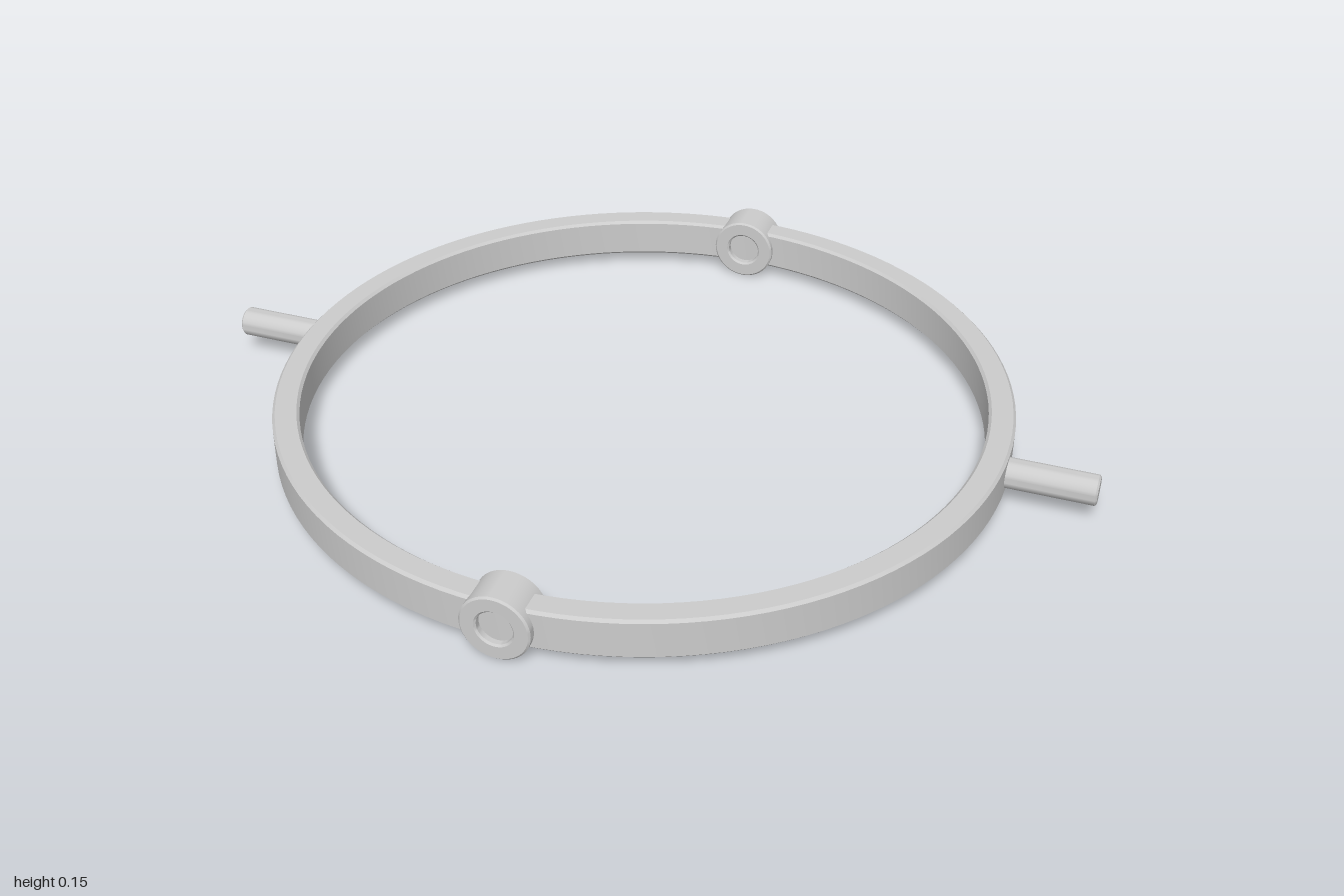
import * as THREE from 'three';
import { toCreasedNormals } from 'three/addons/utils/BufferGeometryUtils.js';

const MID_Y = 0.075;
const material = new THREE.MeshStandardMaterial({ color: 0xcccccc });

// Annular band around the y axis, centred on y = 0, with chamfered edges
function bandGeometry(inner, outer, height, c, segments) {
  const h = height / 2;
  const points = [
    [inner, -h + c], [inner + c, -h], [outer - c, -h], [outer, -h + c],
    [outer, h - c], [outer - c, h], [inner + c, h], [inner, h - c], [inner, -h + c],
  ].map(([r, y]) => new THREE.Vector2(r, y));
  return toCreasedNormals(new THREE.LatheGeometry(points, segments), 0.5);
}

// Solid rod along y starting at y = 0, with a chamfered far end
function rodGeometry(radius, length, c, segments) {
  const points = [
    [0, 0], [radius, 0], [radius, length - c], [radius - c, length], [0, length],
  ].map(([r, y]) => new THREE.Vector2(r, y));
  return toCreasedNormals(new THREE.LatheGeometry(points, segments), 0.5);
}

export function createModel() {
  const group = new THREE.Group();
  const add = (name, geometry) => {
    const mesh = new THREE.Mesh(geometry, material);
    mesh.name = name;
    group.add(mesh);
    return mesh;
  };

  // Main ring
  add('ring', bandGeometry(0.752, 0.81, 0.092, 0.006, 128)).position.y = MID_Y + 0.002;

  const bossGeometry = bandGeometry(0.038, 0.074, 0.091, 0.004, 48);
  const pinGeometry = rodGeometry(0.033, 0.22, 0.004, 32);

  for (const side of [1, -1]) {
    const label = side > 0 ? ['front', 'left'] : ['back', 'right'];

    // Round pivot boss; the ring wall closes its shallow bore
    const boss = add(label[0] + 'Boss', bossGeometry);
    boss.rotation.x = Math.PI / 2;
    boss.position.set(0, MID_Y, side * 0.78);

    // Pivot pin pointing outwards
    const pin = add(label[1] + 'Pin', pinGeometry);
    pin.rotation.z = -side * Math.PI / 2;
    pin.position.set(side * 0.78, MID_Y + 0.002, 0);
  }
  return group;
}
